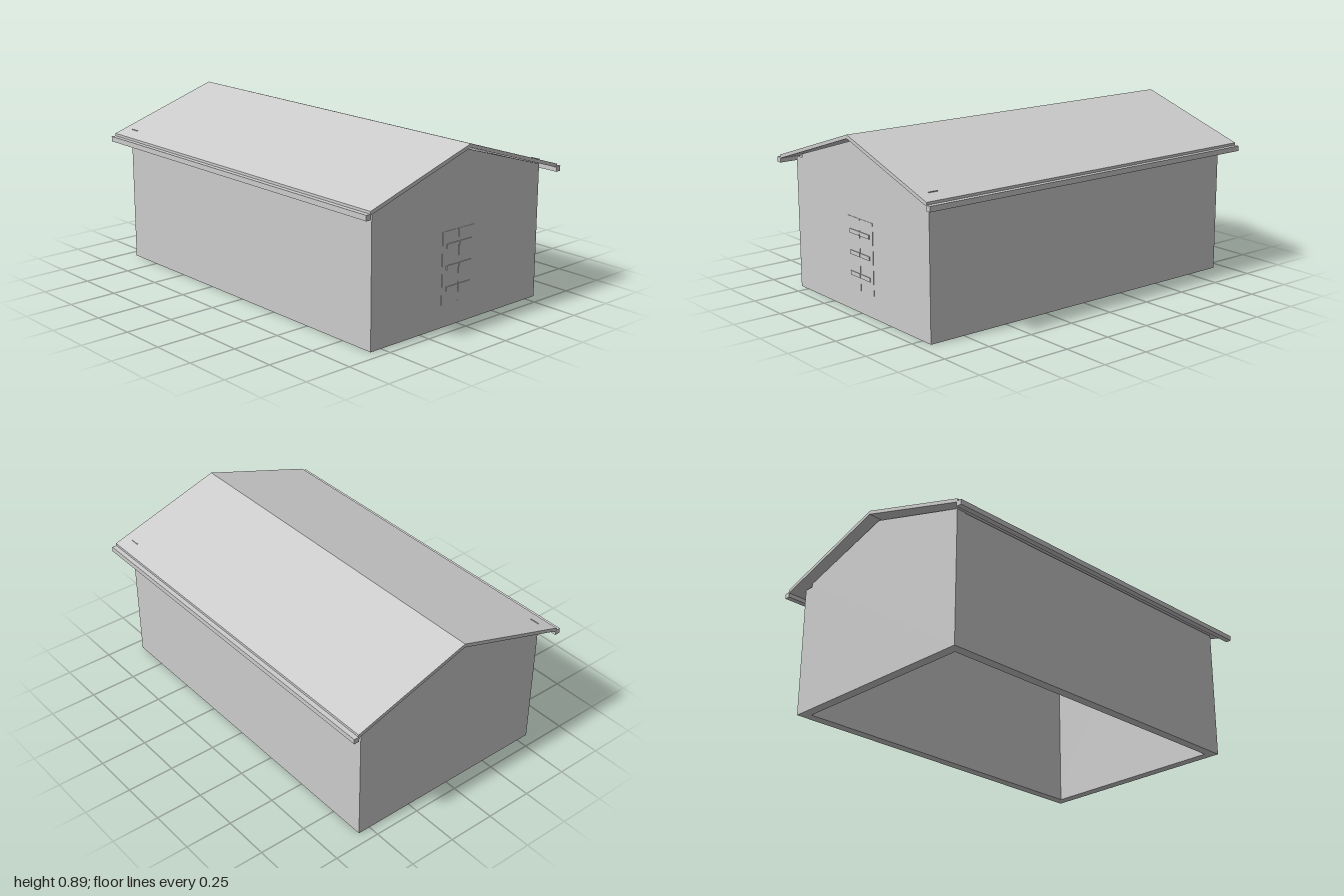
import * as THREE from 'three';

export function createModel() {
  const model = new THREE.Group();
  model.name = 'gabledShed';
  const grey = new THREE.MeshStandardMaterial({ color: 0xcccccc });
  grey.name = 'plainGrey';

  const add = (parent, name, geometry, x = 0, y = 0, z = 0) => {
    const mesh = new THREE.Mesh(geometry, grey);
    mesh.name = name;
    mesh.position.set(x, y, z);
    parent.add(mesh);
    return mesh;
  };
  const box = (parent, name, size, pos) => add(parent, name, new THREE.BoxGeometry(...size), ...pos);

  // Extrudes a (z, y) outline along x, centred on x = 0
  const slab = (points, width) => {
    const shape = new THREE.Shape(points.map(([z, y]) => new THREE.Vector2(z, y)));
    const g = new THREE.ExtrudeGeometry(shape, { depth: width, bevelEnabled: false });
    return g.translate(0, 0, -width / 2).rotateY(-Math.PI / 2);
  };

  const wallX = 0.94, wallZ = 0.565, thick = 0.05;
  const gableY = (z) => 0.863 - (0.173 / wallZ) * Math.abs(z);

  // Two identical halves, turned half round: each wall butts against the next
  ['front', 'back'].forEach((side, i) => {
    const half = new THREE.Group();
    half.name = side + 'Half';
    half.rotation.y = i * Math.PI;
    model.add(half);

    // Long wall
    box(half, side + 'Wall', [2 * wallX - thick, 0.687, thick], [thick / 2, 0.3435, wallZ - thick / 2]);

    // Gabled end wall
    const inner = wallZ - thick;
    add(half, i ? 'leftGableWall' : 'rightGableWall', slab([
      [-wallZ, 0], [inner, 0], [inner, gableY(inner)], [0, gableY(0)], [-wallZ, gableY(wallZ)],
    ], thick), wallX - thick / 2);

    // Eaves board and the wall tip showing through the roof
    box(half, side + 'EavesBoard', [2, 0.027, 0.029], [0, 0.6635, 0.6405]);
    box(half, side + 'RoofTab', [thick, 0.012, 0.005], [-wallX + thick / 2, 0.709, 0.5625]);
  });

  // Folded roof sheet
  add(model, 'roof', slab([
    [-0.63, 0.69], [-0.63, 0.671], [0, 0.873], [0.63, 0.671], [0.63, 0.69], [0, 0.892],
  ], 2));

  // Slatted vent on the +x gable
  const vent = new THREE.Group();
  vent.name = 'gableVent';
  model.add(vent);
  for (const s of [-1, 1]) {
    box(vent, 'ventPanel', [0.002, 0.36, 0.109], [wallX + 0.001, 0.295, s * 0.0555]);
    for (const y of [0.19, 0.295, 0.402]) {
      box(vent, 'ventSlat', [0.006, 0.021, 0.081], [wallX + 0.003, y, s * 0.0425]);
    }
  }
  return model;
}
